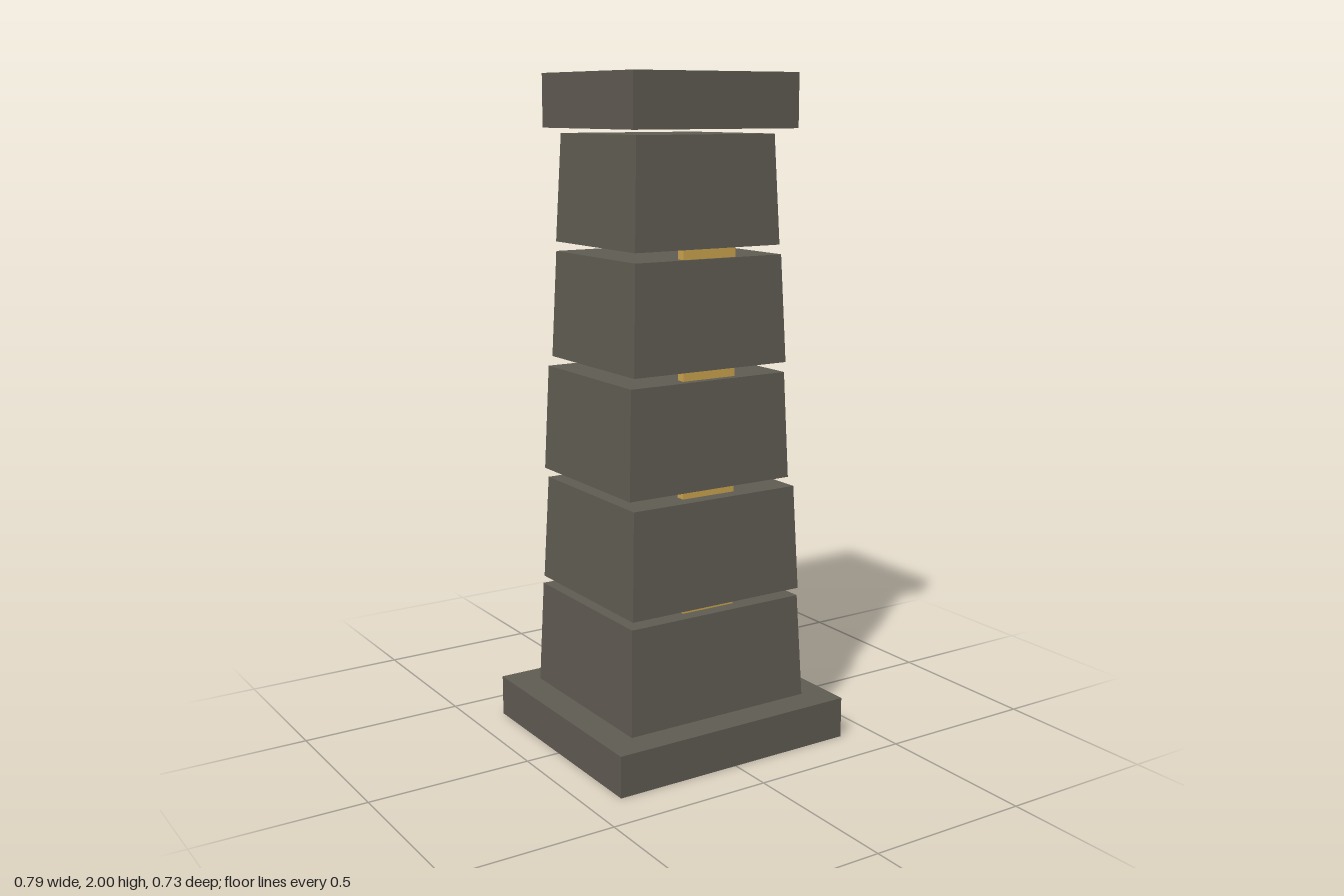
import * as THREE from 'three';

// Box from explicit bounds whose top face may have different x/z limits than its bottom
function taperedBlock(y0, y1, [bx0, bx1, bz0, bz1], [tx0, tx1, tz0, tz1]) {
  const geo = new THREE.BoxGeometry(1, 1, 1);
  const p = geo.attributes.position;
  for (let i = 0; i < p.count; i++) {
    const top = p.getY(i) > 0, right = p.getX(i) > 0, front = p.getZ(i) > 0;
    p.setXYZ(
      i,
      top ? (right ? tx1 : tx0) : (right ? bx1 : bx0),
      top ? y1 : y0,
      top ? (front ? tz1 : tz0) : (front ? bz1 : bz0)
    );
  }
  geo.computeVertexNormals();
  return geo;
}

export function createModel() {
  const group = new THREE.Group();
  const stone = new THREE.MeshStandardMaterial({ color: 0x5f5b52 });
  stone.name = 'darkStone';
  const gold = new THREE.MeshStandardMaterial({ color: 0xc9a24d });
  gold.name = 'gold';

  const add = (name, geo, mat) => {
    const mesh = new THREE.Mesh(geo, mat);
    mesh.name = name;
    group.add(mesh);
    return mesh;
  };

  // Plinth and cap slabs
  add('plinth', new THREE.BoxGeometry(0.79, 0.125, 0.727), stone).position.y = 0.0625;
  add('cap', new THREE.BoxGeometry(0.556, 0.157, 0.508), stone).position.y = 1.9215;

  // Five slightly offset tapering blocks, separated by open joints
  // each: bottom bounds, top bounds as [x min, x max, z min, z max]
  const blocks = [
    [[-0.302, 0.313, -0.284, 0.270], [-0.291, 0.298, -0.271, 0.257]],
    [[-0.296, 0.291, -0.255, 0.270], [-0.283, 0.278, -0.242, 0.257]],
    [[-0.291, 0.263, -0.249, 0.249], [-0.279, 0.251, -0.238, 0.238]],
    [[-0.265, 0.260, -0.239, 0.233], [-0.253, 0.247, -0.227, 0.221]],
    [[-0.252, 0.242, -0.229, 0.219], [-0.239, 0.229, -0.215, 0.206]],
  ];
  blocks.forEach(([bottom, top], i) => {
    const y0 = 0.125 + i * 0.3462;
    add(`pillarBlock${i + 1}`, taperedBlock(y0, y0 + 0.318, bottom, top), stone);
  });

  // Gold inlay strip behind the front faces, showing in the joints
  const strip = add('goldInlay', new THREE.BoxGeometry(0.178, 1.13, 0.029), gold);
  strip.position.set(0, 0.975, 0.199);

  return group;
}
